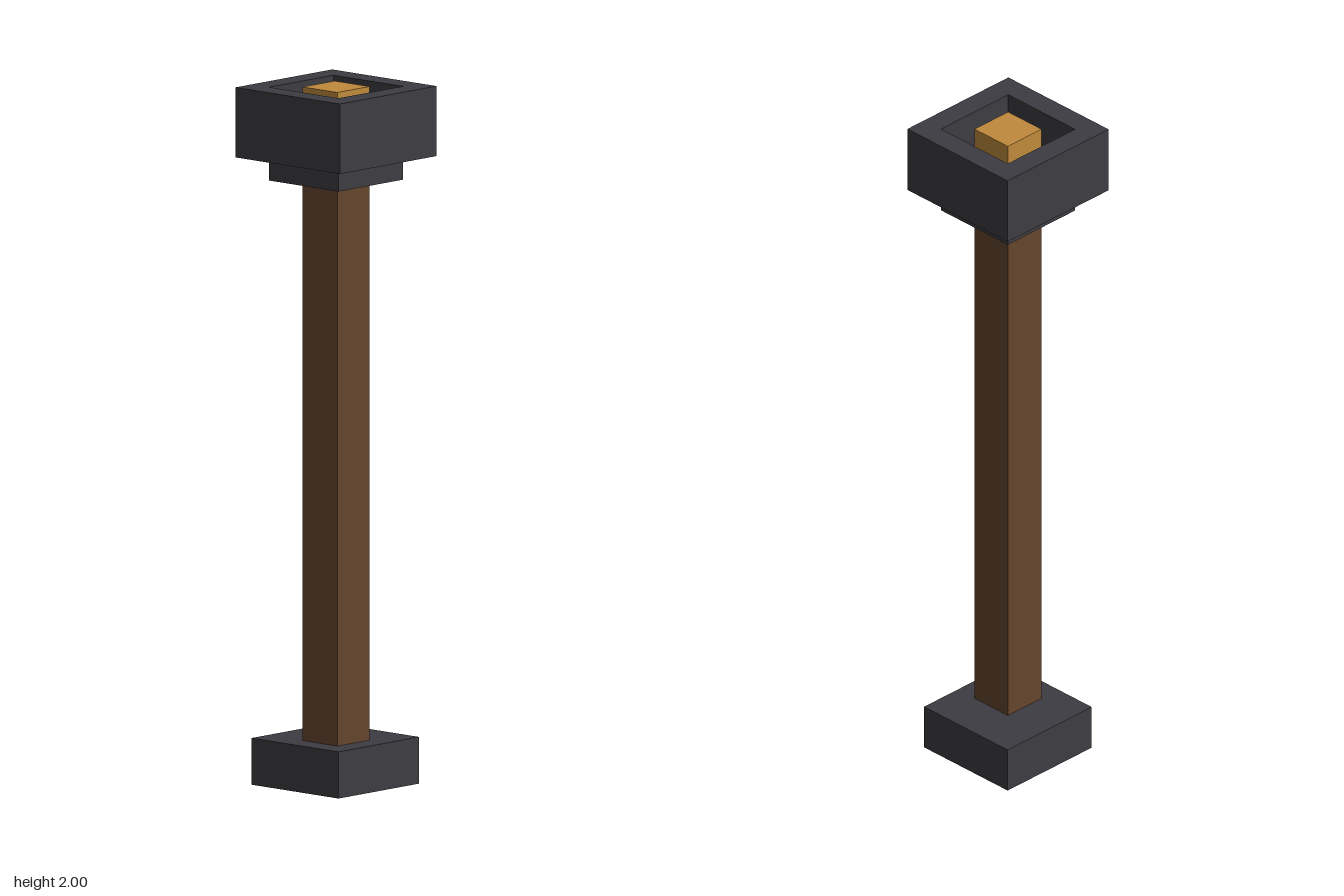
import * as THREE from 'three';

const material = (name, color) => {
  const m = new THREE.MeshStandardMaterial({ color });
  m.name = name;
  return m;
};

export function createModel() {
  const stone = material('dark stone', 0x3d3c42);
  const wood = material('brown wood', 0x65462d);
  const coal = material('charred coal', 0x2e2010);
  const ember = material('glowing amber', 0xc08a3c);

  const U = 1 / 15; // modelling unit
  const model = new THREE.Group();
  model.name = 'torchPost';

  // Box from its width, bottom, top and horizontal offset, in units
  const block = (name, mat, width, bottom, top, offsetX = 0, offsetZ = 0) => {
    const h = top - bottom;
    const mesh = new THREE.Mesh(new THREE.BoxGeometry(width * U, h * U, width * U), mat);
    mesh.position.set(offsetX * U, (bottom + h / 2) * U, offsetZ * U);
    mesh.name = name;
    model.add(mesh);
  };

  // Foot sits off centre, towards +x and the back
  block('foot', stone, 5, 0, 2, 0.5, -0.5);
  block('post', wood, 2, 2, 26);
  block('collar', stone, 4, 26, 27);

  // Square bowl: hollow rim, underside and coal bed
  const square = (Type, s) => new Type([[-s, -s], [s, -s], [s, s], [-s, s]]
    .map(([x, y]) => new THREE.Vector2(x * U, y * U)));
  const outline = square(THREE.Shape, 3);
  outline.holes.push(square(THREE.Path, 2));
  const rimGeometry = new THREE.ExtrudeGeometry(outline, { depth: 3 * U, bevelEnabled: false });
  rimGeometry.rotateX(-Math.PI / 2);
  const rim = new THREE.Mesh(rimGeometry, stone);
  rim.position.y = 27 * U;
  rim.name = 'bowlRim';
  model.add(rim);
  block('coalBed', coal, 4, 27, 28);

  // Glowing flame block, level with the rim
  block('flame', ember, 2, 28, 30);

  return model;
}
